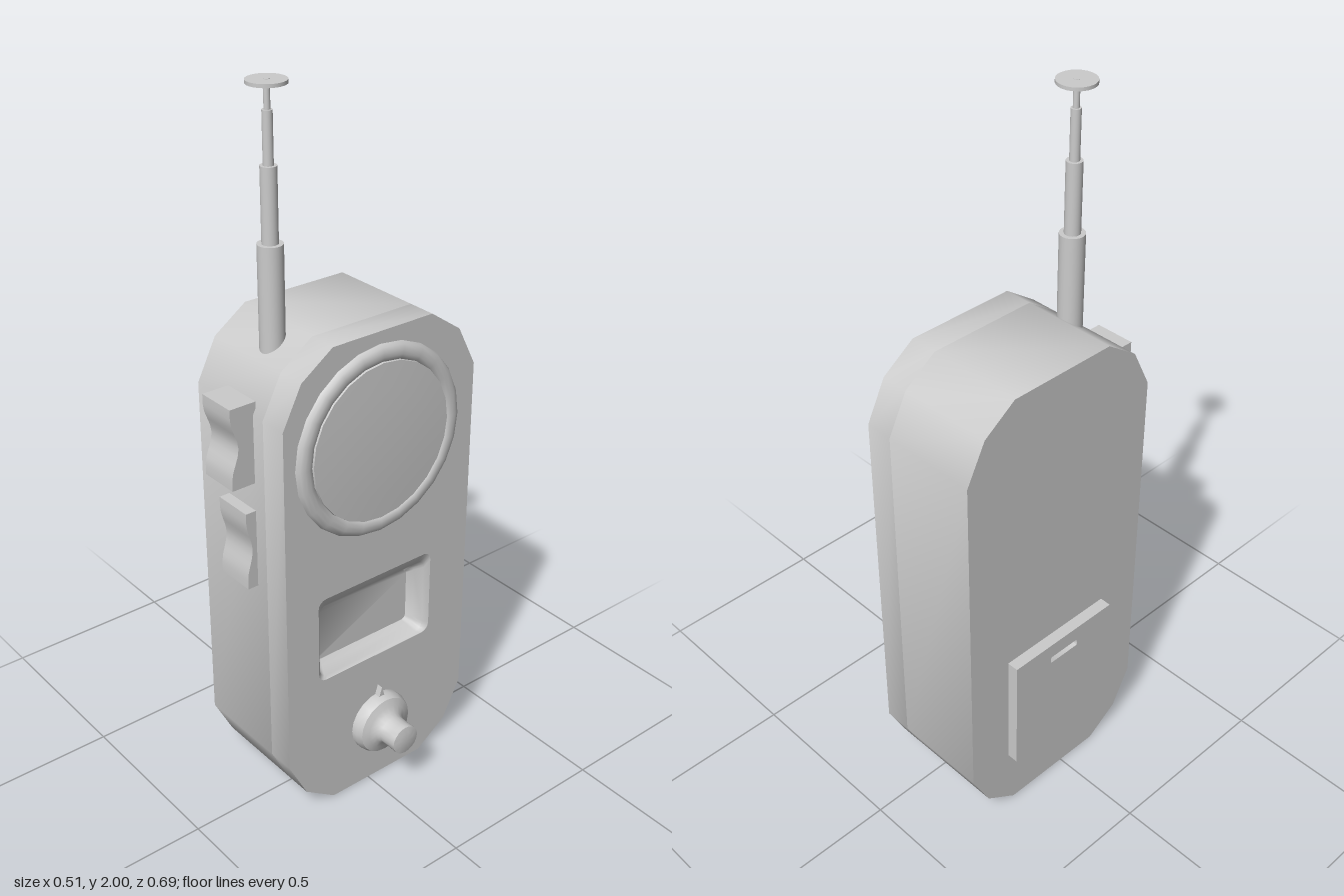
import * as THREE from 'three';
import { toCreasedNormals } from 'three/addons/utils/BufferGeometryUtils.js';

const material = new THREE.MeshStandardMaterial({ color: 0xcccccc });

// Side profiles are drawn as (u, y) with u = -z and extruded along x.
const toShape = (points) => new THREE.Shape(points.map(([u, y]) => new THREE.Vector2(u, y)));

function extrudeX(shape, x0, x1) {
  const geo = new THREE.ExtrudeGeometry(shape, { depth: x1 - x0, bevelEnabled: false });
  geo.translate(0, 0, x0).rotateY(Math.PI / 2);
  return toCreasedNormals(geo, 0.7);
}

// Turned part whose axis points along +x; profile is [radius, x]
function turnX(profile, y, z, sides) {
  const geo = new THREE.LatheGeometry(profile.map(([r, x]) => new THREE.Vector2(r, x)), sides);
  geo.rotateZ(-Math.PI / 2).translate(0, y, z);
  return toCreasedNormals(geo, 0.75);
}

// Counter-clockwise rounded rectangle
function roundedRect(l, r, b, t, rad, steps = 4) {
  const points = [];
  const centres = [[r - rad, t - rad], [l + rad, t - rad], [l + rad, b + rad], [r - rad, b + rad]];
  centres.forEach(([cx, cy], k) => {
    for (let i = 0; i <= steps; i++) {
      const a = (k + i / steps) * Math.PI / 2;
      points.push([cx + rad * Math.cos(a), cy + rad * Math.sin(a)]);
    }
  });
  return points;
}

// Recess skinned through rounded rectangles from the lip to the floor
function pocketGeometry(rings) {
  const pos = [], index = [];
  const n = rings[0].points.length;
  rings.forEach(({ points, x }) => points.forEach(([u, y]) => pos.push(u, y, x)));
  for (let k = 0; k < rings.length - 1; k++) {
    for (let i = 0; i < n; i++) {
      const j = (i + 1) % n;
      const a = k * n + i, b = k * n + j, c = b + n, d = a + n;
      index.push(a, b, c, a, c, d);
    }
  }
  const last = (rings.length - 1) * n;
  for (let i = 1; i < n - 1; i++) index.push(last, last + i, last + i + 1);
  const geo = new THREE.BufferGeometry();
  geo.setAttribute('position', new THREE.Float32BufferAttribute(pos, 3));
  geo.setIndex(index);
  geo.rotateY(Math.PI / 2);
  return toCreasedNormals(geo, 0.9);
}

export function createModel() {
  const group = new THREE.Group();
  const add = (name, geo, parent = group) => {
    const mesh = new THREE.Mesh(geo, material);
    mesh.name = name;
    parent.add(mesh);
    return mesh;
  };

  // Body: octagon-like slab with two-step corners, mirrored from one quarter
  const cu = 0.033, cy = 0.695;
  const quarter = [[0.312, 0.515], [0.255, 0.628], [0.159, 0.695]];
  const flip = (su, sy) => quarter.map(([u, y]) => [cu + su * u, cy + sy * y]);
  const outline = [
    ...flip(1, 1), ...flip(-1, 1).reverse(), ...flip(-1, -1), ...flip(1, -1).reverse(),
  ];
  const rings = [
    { points: roundedRect(-0.175, 0.215, 0.42, 0.68, 0.025), x: 0.13 },
    { points: roundedRect(-0.165, 0.2, 0.425, 0.655, 0.025), x: 0.12 },
    { points: roundedRect(-0.15, 0.195, 0.43, 0.625, 0.02), x: 0.085 },
    { points: roundedRect(-0.13, 0.19, 0.432, 0.6, 0.015), x: 0.06 },
  ];
  add('bodyBack', extrudeX(toShape(outline), -0.225, 0.05));
  const faceShape = toShape(outline);
  faceShape.holes.push(new THREE.Path(rings[0].points.map(([u, y]) => new THREE.Vector2(u, y))));
  add('bodyFace', extrudeX(faceShape, 0.05, 0.13));
  add('recess', pocketGeometry(rings));

  // Round speaker: rolled rim and slightly domed cover
  add('speakerRim', turnX([
    [0.267, 0.125], [0.266, 0.133], [0.26, 0.142], [0.248, 0.147],
    [0.235, 0.147], [0.225, 0.144], [0.22, 0.138],
  ], 1.09, -0.022, 24));
  add('speakerCover', turnX([
    [0.221, 0.138], [0.22, 0.145], [0.15, 0.1485], [0.075, 0.1505], [0, 0.151],
  ], 1.09, -0.022, 24));

  // Control knob with flared skirt and pointer
  const knob = new THREE.Group();
  knob.name = 'knob';
  group.add(knob);
  add('knobBody', turnX([
    [0.092, 0.125], [0.092, 0.148], [0.085, 0.165], [0.066, 0.173], [0.049, 0.182], [0.043, 0.195],
    [0.042, 0.225], [0.043, 0.25], [0.025, 0.254], [0, 0.255],
  ], 0.195, -0.032, 20), knob);
  add('knobPointer', extrudeX(toShape([[0.018, 0.27], [0.046, 0.27], [0.032, 0.315]]), 0.13, 0.148), knob);

  // Telescopic antenna
  const antenna = new THREE.Group();
  antenna.name = 'antenna';
  antenna.position.set(-0.047, 0, 0.173);
  group.add(antenna);
  const rods = [
    [0.033, 1.28, 1.61], [0.021, 1.6, 1.8], [0.013, 1.79, 1.93], [0.008, 1.92, 2.0], [0.05, 1.99, 1.999],
  ];
  rods.forEach(([r, y0, y1], i) => {
    const name = i === rods.length - 1 ? 'antennaTip' : `antennaSection${i + 1}`;
    add(name, new THREE.CylinderGeometry(r, r, y1 - y0, 24), antenna).position.y = (y0 + y1) / 2;
  });

  // Two push buttons with a thumb groove
  const button = (name, y0, y1, z, groove) => {
    const mid = (y0 + y1) / 2, points = [[-0.27, y1], [-0.27, y0], [-z, y0]];
    for (let i = 0; i <= 8; i++) {
      const t = i / 4 - 1;
      const dip = groove * (0.5 + 0.5 * Math.cos(t * Math.PI));
      points.push([-z + dip, mid + t * 0.085]);
    }
    points.push([-z, y1]);
    add(name, extrudeX(toShape(points), -0.105, 0.01));
  };
  button('upperButton', 1.02, 1.245, 0.347, 0.022);
  button('lowerButton', 0.715, 0.94, 0.31, 0.017);

  // Battery door with a fingernail slot
  const door = toShape([[-0.143, 0.19], [0.213, 0.19], [0.213, 0.55], [-0.143, 0.55]]);
  door.holes.push(new THREE.Path(
    roundedRect(-0.015, 0.085, 0.485, 0.505, 0.004, 2).map(([u, y]) => new THREE.Vector2(u, y))));
  add('batteryDoor', extrudeX(door, -0.258, -0.225));

  return group;
}
